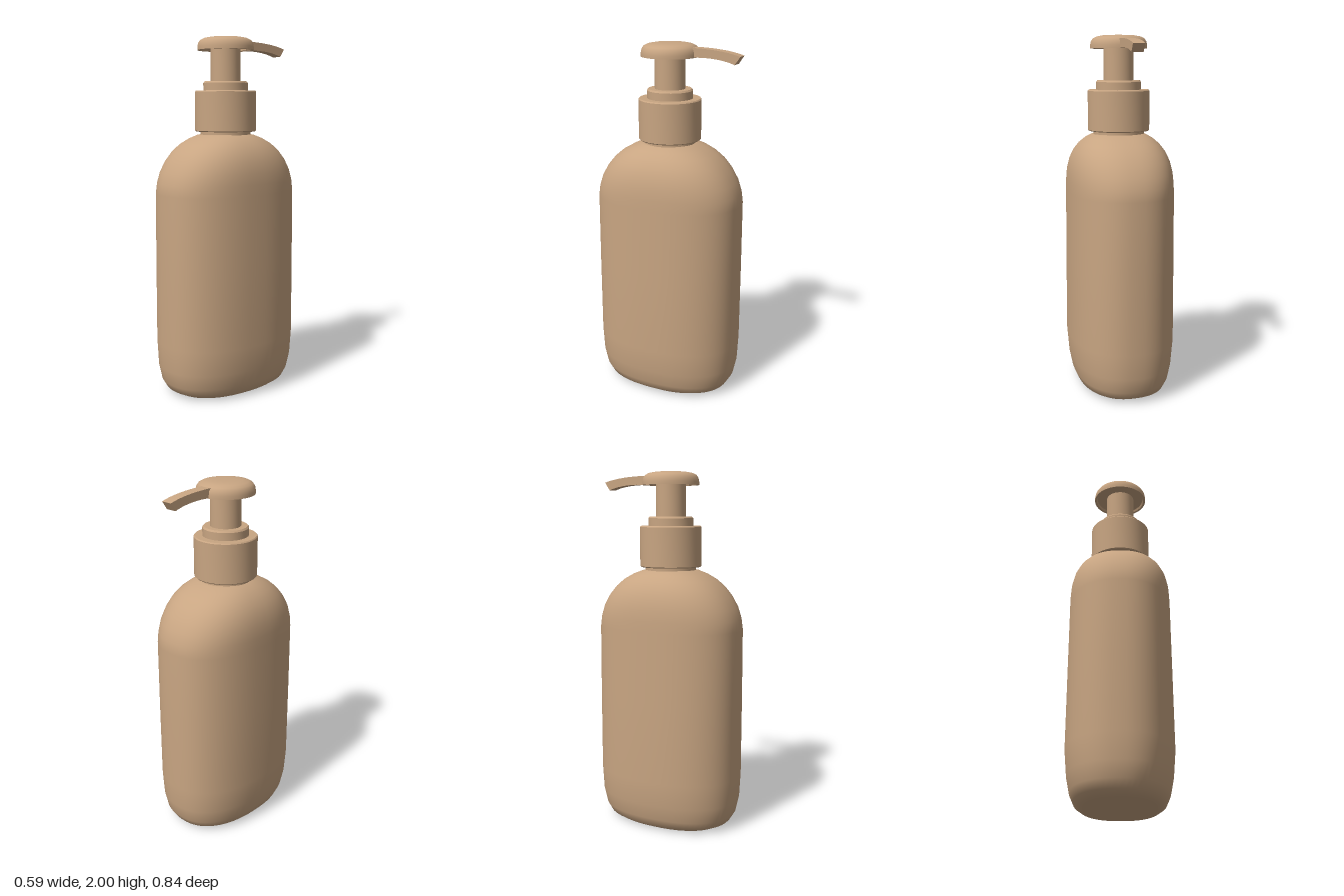
import * as THREE from 'three';
import { toCreasedNormals } from 'three/addons/utils/BufferGeometryUtils.js';

// Body stations: height, half width (x), half depth (z)
const BODY = [
  [0.004, 0.19, 0.29], [0.008, 0.215, 0.325], [0.03, 0.245, 0.368], [0.075, 0.265, 0.395],
  [0.16, 0.282, 0.413], [0.3, 0.294, 0.419], [0.75, 0.291, 0.419], [1.14, 0.288, 0.417],
  [1.2, 0.287, 0.408], [1.26, 0.283, 0.387], [1.32, 0.27, 0.352], [1.37, 0.248, 0.31],
  [1.41, 0.219, 0.262], [1.44, 0.185, 0.208], [1.46, 0.15, 0.155], [1.466, 0.125, 0.125],
];

// Loft of rounded-oval cross-sections, closed at both ends
function bodyGeometry(sides = 64) {
  const pos = [], idx = [], power = 2 / 2.33;
  const bend = (v) => Math.sign(v) * Math.abs(v) ** power;
  for (const [y, a, b] of BODY) {
    for (let i = 0; i < sides; i++) {
      const t = (i / sides) * Math.PI * 2;
      pos.push(a * bend(Math.sin(t)), y, b * bend(Math.cos(t)));
    }
  }
  const last = (BODY.length - 1) * sides;
  const bottom = pos.length / 3, top = bottom + 1;
  pos.push(0, 0.002, 0, 0, 1.467, 0);
  for (let i = 0; i < sides; i++) {
    const n = (i + 1) % sides;
    for (let r = 0; r < last; r += sides) {
      idx.push(r + i, r + n, r + sides + n, r + i, r + sides + n, r + sides + i);
    }
    idx.push(bottom, n, i, top, last + i, last + n);
  }
  const g = new THREE.BufferGeometry();
  g.setAttribute('position', new THREE.Float32BufferAttribute(pos, 3));
  g.setIndex(idx);
  g.computeVertexNormals();
  return g;
}

// Turned part from [radius, height] points, listed from bottom to top
function turned(points, sides = 40) {
  const g = new THREE.LatheGeometry(points.map(([r, y]) => new THREE.Vector2(r, y)), sides);
  return toCreasedNormals(g, 0.6);
}

// Side outline of the spout, extruded to its width; the shape's x runs to the back
function spoutGeometry() {
  const s = new THREE.Shape();
  s.moveTo(0.12, 1.93);
  s.lineTo(0.2, 1.932);
  s.quadraticCurveTo(0.31, 1.93, 0.378, 1.904);
  s.lineTo(0.407, 1.947);
  s.quadraticCurveTo(0.31, 1.979, 0.12, 1.98);
  s.closePath();
  const width = 0.064;
  const g = new THREE.ExtrudeGeometry(s, { depth: width, bevelEnabled: false, curveSegments: 10 });
  g.translate(0, 0, -width / 2);
  g.rotateY(Math.PI / 2);
  return toCreasedNormals(g, 0.6);
}

export function createModel() {
  const model = new THREE.Group();
  const tan = new THREE.MeshStandardMaterial({ color: 0xc8a582 });
  tan.name = 'tan plastic';
  const add = (name, geometry) => {
    const mesh = new THREE.Mesh(geometry, tan);
    mesh.name = name;
    model.add(mesh);
  };

  add('body', bodyGeometry());
  add('neck', turned([[0, 1.44], [0.142, 1.44], [0.142, 1.49], [0, 1.49]]));
  add('collar', turned([
    [0, 1.48], [0.167, 1.48], [0.172, 1.485], [0.172, 1.7], [0.167, 1.706], [0, 1.706],
  ]));
  add('collarRing', turned([
    [0, 1.7], [0.125, 1.7], [0.125, 1.748], [0.118, 1.757], [0, 1.757],
  ]));
  add('stem', turned([[0, 1.75], [0.083, 1.75], [0.083, 1.95], [0, 1.95]]));

  // Domed press head with a shallow recess underneath
  add('pumpHead', turned([
    [0, 1.94], [0.14, 1.94], [0.145, 1.928], [0.157, 1.928], [0.157, 1.945], [0.153, 1.966],
    [0.142, 1.982], [0.122, 1.992], [0.09, 1.998], [0.045, 2], [0, 2],
  ], 48));
  add('spout', spoutGeometry());
  return model;
}
